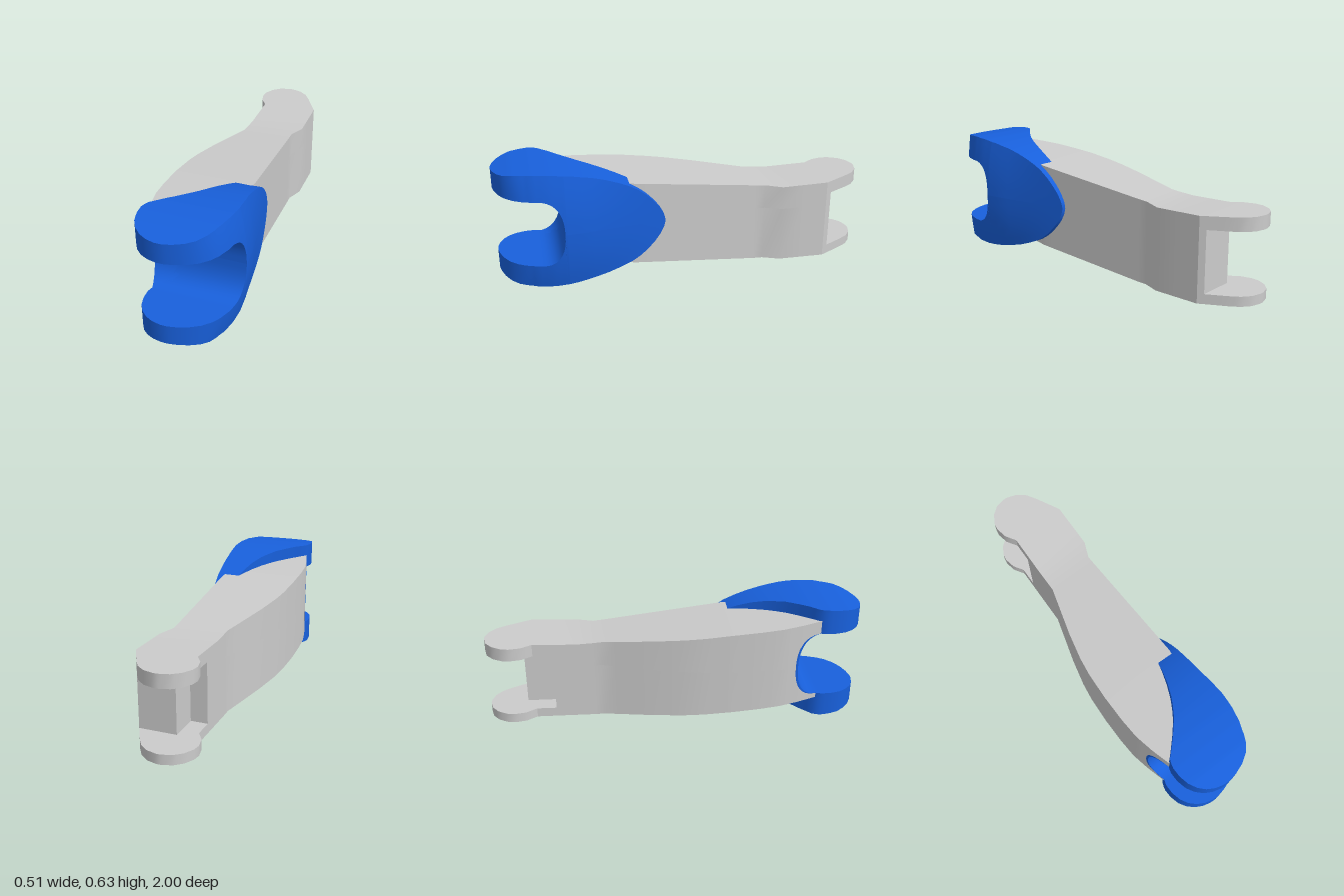
import * as THREE from 'three';
import { toCreasedNormals } from 'three/addons/utils/BufferGeometryUtils.js';

const MID = 0.315; // height of the fork's mirror plane

// piecewise-linear curve through [z, value] pairs
const curve = (pts) => (z) => {
  if (z <= pts[0][0]) return pts[0][1];
  for (let i = 1; i < pts.length; i++) {
    const [a, p] = pts[i - 1], [b, q] = pts[i];
    if (z <= b) return p + (q - p) * (z - a) / (b - a);
  }
  return pts[pts.length - 1][1];
};
const range = (a, b, n) => Array.from({ length: n + 1 }, (_, i) => a + (b - a) * i / n);

// block whose sides follow left/right (x) and low/high (y) along the stations in z
function loft(name, material, zs, left, right, low, high, rows = 1) {
  const n = zs.length - 1;
  const geo = new THREE.BoxGeometry(1, 1, 1, 1, rows, n);
  const p = geo.attributes.position;
  for (let i = 0; i < p.count; i++) {
    const z = zs[Math.round((p.getZ(i) + 0.5) * n)];
    const y = THREE.MathUtils.lerp(low(z), high(z), p.getY(i) + 0.5);
    const x = THREE.MathUtils.lerp(left(z), right(z, y), p.getX(i) + 0.5);
    p.setXYZ(i, x, y, z);
  }
  const mesh = new THREE.Mesh(toCreasedNormals(geo, 0.5), material);
  mesh.name = name;
  return mesh;
}

// grey arm outlines
const armLeft = curve([[-1, -0.05], [-0.985, -0.105], [-0.95, -0.147], [-0.9, -0.174], [-0.86, -0.18],
  [-0.8, -0.167], [-0.745, -0.13], [-0.38, -0.13], [-0.25, -0.165], [-0.1, -0.205], [0.05, -0.237],
  [0.15, -0.25], [0.3, -0.257], [0.45, -0.255], [0.56, -0.247], [0.66, -0.225], [0.78, -0.19]]);
const armRight = curve([[-1, -0.03], [-0.985, 0.025], [-0.95, 0.07], [-0.9, 0.103], [-0.77, 0.175],
  [-0.52, 0.175], [-0.43, 0.14], [0.28, 0.163], [0.4, 0.15], [0.58, 0.08], [0.65, -0.04], [0.72, -0.11], [0.78, -0.17]]);
const armTop = curve([[-1, 0.453], [-0.8, 0.45], [-0.5, 0.442], [-0.4, 0.45], [0.3, 0.53], [0.78, 0.568]]);
const armBottom = curve([[-1, 0.008], [-0.4, 0.01], [0.3, 0.07], [0.78, 0.11]]);

// blue cap outlines
const capLeft = curve([[0.3, 0.075], [0.4, 0.05], [0.52, 0], [0.6, -0.05], [0.66, -0.1], [0.72, -0.155],
  [0.76, -0.195], [0.8, -0.204], [0.85, -0.202], [0.9, -0.188], [0.94, -0.163], [0.97, -0.13], [0.99, -0.09], [1, -0.045]]);
const capSide = curve([[0.12, 0.18], [0.4, 0.222], [0.55, 0.249], [0.64, 0.257], [0.72, 0.253], [0.8, 0.238],
  [0.86, 0.215], [0.9, 0.187], [0.94, 0.145], [0.97, 0.093], [0.99, 0.038], [1, -0.01]]);
const capRight = (z, y) => {
  const t = (y - MID) / MID;
  return capSide(z) - 0.04 * t * t * Math.min(1, Math.max(0, (z - 0.12) / 0.4)) * Math.min(1, (1 - z) / 0.15);
};
const capTop = curve([[0.122, 0.32], [0.13, 0.352], [0.15, 0.39], [0.18, 0.429], [0.22, 0.471], [0.26, 0.503],
  [0.3, 0.528], [0.36, 0.554], [0.43, 0.579], [0.5, 0.598], [0.6, 0.617], [0.7, 0.628], [0.8, 0.63], [0.9, 0.622], [1, 0.602]]);

// upper edge of the rounded slot
const slot = (z) => {
  const t = Math.min(1, Math.max(0, (0.775 - z) / 0.125));
  return MID + 0.18 * Math.pow(Math.max(0, 1 - Math.pow(t, 2.4)), 1 / 2.4);
};
const slotOuter = (z) => slot(z + 0.012);
const flip = (f) => (z) => 2 * MID - f(z);

export function createModel() {
  const model = new THREE.Group();
  const grey = new THREE.MeshStandardMaterial({ color: 0xcccccc });
  const blue = new THREE.MeshStandardMaterial({ color: 0x1860dc });
  const flat = (v) => () => v;

  // arm body, as halves so the front slot stays open
  const slotZ = [0.638, 0.639, 0.641, 0.645, 0.65, 0.651, 0.653, 0.657, 0.663, 0.672, 0.685, 0.705, 0.73, 0.755, 0.78];
  const bodyZ = [-0.64, -0.52, -0.43, -0.38, -0.31, -0.25, -0.18, -0.1, -0.02, 0.05, 0.15, 0.22, 0.28, 0.3,
    0.4, 0.45, 0.5, 0.56, 0.6, ...slotZ];
  model.add(loft('armUpperHalf', grey, bodyZ, armLeft, armRight, slotOuter, armTop));
  model.add(loft('armLowerHalf', grey, bodyZ, armLeft, armRight, armBottom, flip(slotOuter)));

  // rear hinge: two rounded lugs and the tongue between them
  const lugZ = [-1, -0.995, -0.985, -0.97, -0.95, -0.925, -0.9, -0.86, -0.83, -0.8, -0.77, -0.745, -0.64];
  model.add(loft('rearUpperLug', grey, lugZ, armLeft, armRight, flat(0.382), armTop));
  model.add(loft('rearLowerLug', grey, lugZ, armLeft, armRight, armBottom, flat(0.06)));
  model.add(loft('rearTongue', grey, [-0.8, -0.77, -0.64], flat(-0.04), armRight, flat(0.06), flat(0.382)));

  // front fork cap, mirrored about its middle height
  const capZ = [0.122, 0.13, 0.15, 0.18, 0.22, 0.26, 0.3, 0.36, 0.43, 0.5, 0.55, 0.6, ...slotZ,
    ...range(0.8, 0.94, 7), 0.955, 0.97, 0.98, 0.99, 0.996, 1];
  model.add(loft('forkUpperHalf', blue, capZ, capLeft, capRight, slot, capTop, 6));
  model.add(loft('forkLowerHalf', blue, capZ, capLeft, capRight, flip(capTop), flip(slot), 6));

  // thin lining of the slot where it cuts through the arm
  const liningLeft = (z) => armLeft(z) - 0.001;
  const liningRight = (z) => capLeft(z) + 0.03;
  model.add(loft('slotLiningUpper', blue, slotZ, liningLeft, liningRight, slot, slotOuter));
  model.add(loft('slotLiningLower', blue, slotZ, liningLeft, liningRight, flip(slotOuter), flip(slot)));
  return model;
}
